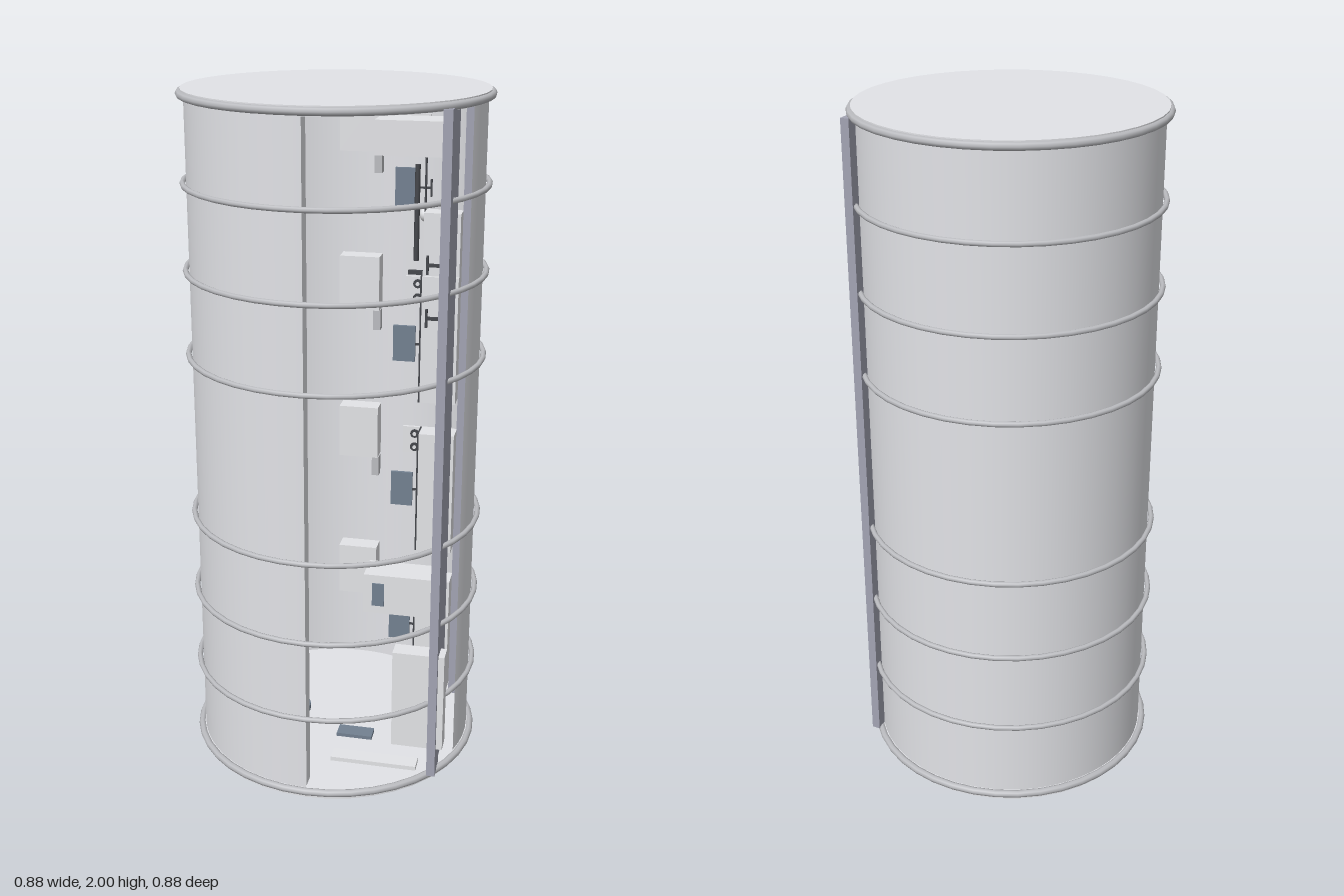
import * as THREE from 'three';

const mat = (name, color, double) => {
  const m = new THREE.MeshStandardMaterial({ color });
  m.name = name;
  if (double) m.side = THREE.DoubleSide;
  return m;
};

export function createModel() {
  const shell = mat('shell grey', 0xe2e3e7, true);
  const steel = mat('steel grey', 0xbcbdc1);
  const post = mat('post blue grey', 0xa3a4b3);
  const panel = mat('panel white', 0xe6e7ea);
  const screen = mat('screen blue', 0x738191);
  const dark = mat('dark trim', 0x45474c);

  const root = new THREE.Group();
  const add = (name, geo, m, x = 0, y = 0, z = 0, parent = root) => {
    const mesh = new THREE.Mesh(geo, m);
    mesh.name = name;
    mesh.position.set(x, y, z);
    parent.add(mesh);
    return mesh;
  };
  // box given by its lower and upper corner
  const box = (name, m, x0, x1, y0, y1, z0, z1, parent = root) =>
    add(name, new THREE.BoxGeometry(x1 - x0, y1 - y0, z1 - z0), m,
      (x0 + x1) / 2, (y0 + y1) / 2, (z0 + z1) / 2, parent);
  const ring = (name, r, tube, y) => {
    const g = new THREE.TorusGeometry(r, tube, 8, 40);
    g.rotateX(Math.PI / 2);
    return add(name, g, steel, 0, y, 0);
  };

  // curved wall with a doorway on the front left
  const open = 1.253;
  add('wall', new THREE.CylinderGeometry(0.416, 0.416, 1.95, 48, 1, true, open, Math.PI * 2 - open),
    shell, 0, 1, 0);
  box('doorJamb', shell, -0.016, 0, 0.03, 1.97, 0.365, 0.412);

  // floor, roof and their rims
  add('floor', new THREE.CylinderGeometry(0.426, 0.426, 0.026, 40), shell, 0, 0.014, 0);
  add('roof', new THREE.CylinderGeometry(0.426, 0.426, 0.026, 40), shell, 0, 1.986, 0);
  ring('bottomRim', 0.427, 0.011, 0.02);
  ring('topRim', 0.427, 0.011, 1.985);

  // hoops around the wall
  for (const y of [0.265, 0.511, 0.758, 1.25, 1.496, 1.742]) ring('hoop', 0.427, 0.008, y);

  // upright posts on the left side
  for (const s of [1, -1]) {
    const p = box('post', post, 0.335, 0.36, 0.025, 1.98, 0.2, 0.28);
    p.position.z *= s;
  }
  box('postPanel', post, 0.347, 0.36, 0.05, 1.97, 0.13, 0.2);

  // four stacked sets of equipment along the back of the interior
  const dial = new THREE.CylinderGeometry(0.014, 0.014, 0.006, 16).rotateX(Math.PI / 2);
  const dot = new THREE.CylinderGeometry(0.006, 0.006, 0.006, 12).rotateX(Math.PI / 2);
  for (let i = 0; i < 4; i++) {
    const set = new THREE.Group();
    set.name = 'equipmentSet';
    set.position.y = i * 0.492;
    root.add(set);
    box('cabinet', panel, -0.06, 0.065, 0.295, 0.465, -0.39, -0.33, set);
    box('cabinetHandle', steel, 0.045, 0.068, 0.23, 0.295, -0.37, -0.34, set);
    box('display', screen, 0.11, 0.18, 0.135, 0.25, -0.345, -0.335, set);
    box('displayArm', dark, 0.18, 0.222, 0.188, 0.194, -0.345, -0.339, set);
    box('displayMount', dark, 0.217, 0.222, 0.165, 0.217, -0.345, -0.335, set);
    box('dialPlate', panel, 0.147, 0.215, 0.32, 0.41, -0.345, -0.335, set);
    for (const y of [0.343, 0.388]) {
      add('dial', dial, dark, 0.185, y, -0.333, set);
      add('dialCentre', dot, panel, 0.185, y, -0.329, set);
    }
    if (i < 3) {
      box('locker', panel, 0.227, 0.335, 0.07, 0.46, -0.21, -0.14, set);
      box('lockerEdge', dark, 0.222, 0.227, 0.07, 0.46, -0.21, -0.14, set);
    }
  }
  box('upperEdge', dark, 0.222, 0.227, 1.35, 1.87, -0.2, -0.19);
  box('upperLocker', panel, 0.227, 0.335, 1.36, 1.63, -0.21, -0.15);
  box('upperLatch', dark, 0.155, 0.222, 1.402, 1.414, -0.34, -0.325);
  add('knob', new THREE.SphereGeometry(0.022, 16, 12), panel, 0.21, 1.59, -0.32);

  // hooks on the inner face of the post
  for (const y of [1.425, 1.57]) {
    box('hookArm', dark, 0.297, 0.335, y - 0.004, y + 0.004, 0.23, 0.24);
    box('hookTip', dark, 0.294, 0.3, y - 0.025, y + 0.025, 0.23, 0.24);
  }

  // hanging rail and box under the roof
  add('rail', new THREE.CylinderGeometry(0.007, 0.007, 0.25, 12), dark, 0.272, 1.715, 0.27);
  box('topBox', panel, 0.16, 0.335, 1.86, 1.95, 0.18, 0.28);

  // control unit with a small screen
  box('controlUnit', panel, 0.14, 0.335, 0.55, 0.67, 0.18, 0.275);
  box('controlScreen', screen, 0.165, 0.2, 0.575, 0.645, 0.274, 0.279);

  // box passing through the front post, with plates on the floor before it
  box('lowerBox', panel, 0.225, 0.378, 0.11, 0.42, 0.21, 0.265);
  box('footPlate', panel, 0.04, 0.3, 0.026, 0.04, 0.215, 0.265);
  box('footPedal', screen, 0.03, 0.14, 0.026, 0.038, 0.08, 0.13);

  // round pad on the floor
  add('floorPad', new THREE.CylinderGeometry(0.062, 0.062, 0.02, 24), screen, -0.147, 0.035, 0);

  return root;
}
